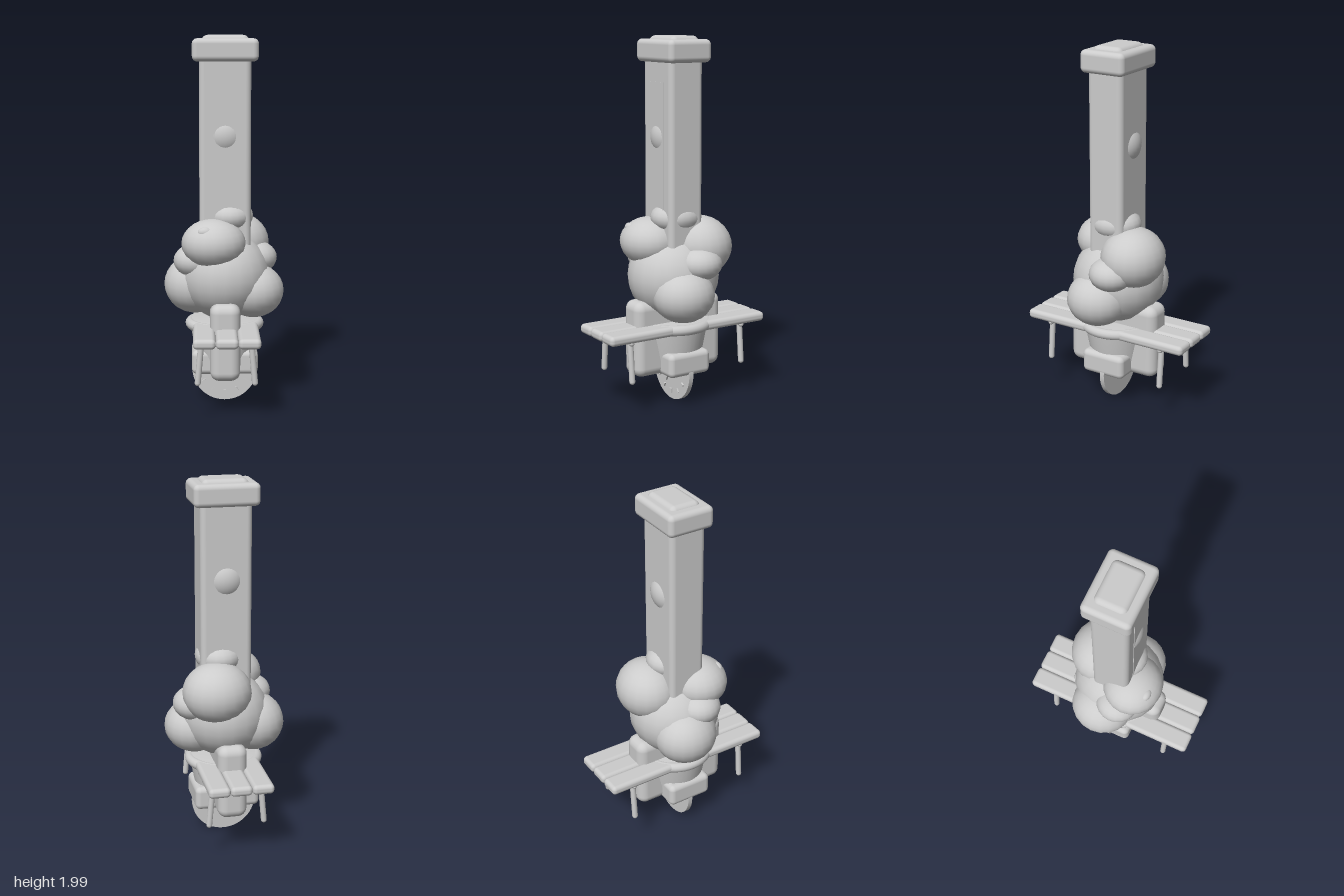
import * as THREE from 'three';
import { RoundedBoxGeometry } from 'three/addons/geometries/RoundedBoxGeometry.js';

export function createModel() {
  const model = new THREE.Group();
  const clay = new THREE.MeshStandardMaterial({ color: 0xcccccc });
  clay.name = 'plain grey';

  const add = (name, geometry, x = 0, y = 0, z = 0, parent = model) => {
    const mesh = new THREE.Mesh(geometry, clay);
    mesh.name = name;
    mesh.position.set(x, y, z);
    parent.add(mesh);
    return mesh;
  };
  // Rounded box given by its extents on each axis
  const block = (name, [x0, x1], [y0, y1], [z0, z1], r) =>
    add(name, new RoundedBoxGeometry(x1 - x0, y1 - y0, z1 - z0, 4, r),
      (x0 + x1) / 2, (y0 + y1) / 2, (z0 + z1) / 2);
  const ellipsoid = (name, [x, y, z], [rx, ry, rz], w = 20, h = 14) =>
    add(name, new THREE.SphereGeometry(1, w, h), x, y, z).scale.set(rx, ry, rz);
  // Round bar between two points
  const bar = (name, a, b, r) => {
    const from = new THREE.Vector3(...a), to = new THREE.Vector3(...b);
    const dir = to.clone().sub(from);
    const mid = from.clone().add(to).multiplyScalar(0.5);
    const mesh = add(name, new THREE.CapsuleGeometry(r, dir.length() - 2 * r, 4, 12), mid.x, mid.y, mid.z);
    mesh.quaternion.setFromUnitVectors(new THREE.Vector3(0, 1, 0), dir.normalize());
  };

  // Chimney tower with cap, front panel and round boss
  block('tower', [-0.135, 0.14], [0.75, 1.89], [-0.102, 0.105], 0.03);
  block('towerCap', [-0.172, 0.178], [1.862, 1.982], [-0.132, 0.13], 0.028);
  block('capInset', [-0.122, 0.13], [1.93, 2.0], [-0.091, 0.087], 0.034);
  add('frontPanel', new THREE.BoxGeometry(0.13, 0.72, 0.009), 0.005, 1.4, 0.104);
  ellipsoid('towerBoss', [0.002, 1.47, 0], [0.125, 0.125, 0.123], 32, 24);

  // Foliage: centre and radii of each clump
  const clumps = [
    [[0.0, 0.71, 0.0], [0.245, 0.24, 0.252]],
    [[-0.06, 0.9, 0.11], [0.172, 0.133, 0.163]],
    [[0.062, 0.87, -0.13], [0.187, 0.165, 0.173]],
    [[-0.16, 0.655, -0.03], [0.168, 0.16, 0.175]],
    [[0.157, 0.63, 0.035], [0.165, 0.147, 0.17]],
    [[0.17, 0.795, -0.06], [0.12, 0.092, 0.122]],
    [[-0.155, 0.8, 0.06], [0.12, 0.092, 0.12]],
    [[0.028, 1.035, 0], [0.128, 0.09, 0.144]],
  ];
  clumps.forEach(([c, r]) => ellipsoid('foliageClump', c, r));
  ellipsoid('foliageBud', [-0.105, 0.975, 0.208], [0.04, 0.028, 0.026]);

  // Tapered pot and its rolled rim
  add('pot', new THREE.LatheGeometry([
    [0, 0.18], [0.125, 0.18], [0.138, 0.19], [0.144, 0.21], [0.19, 0.45], [0.18, 0.47], [0, 0.47],
  ].map(([x, y]) => new THREE.Vector2(x, y)), 40));
  add('potRim', new THREE.TorusGeometry(0.186, 0.028, 14, 48).rotateX(Math.PI / 2), 0.001, 0.443, 0);

  // Blocks through the pot
  block('longBlock', [-0.08, 0.08], [0.178, 0.595], [-0.27, 0.275], 0.05);
  block('crossBlock', [-0.178, 0.18], [0.18, 0.312], [-0.13, 0.13], 0.03);

  // Bench slats, crossbars and splayed legs
  for (const x of [-0.112, 0.005, 0.121]) {
    block('benchSlat', [x - 0.058, x + 0.058], [0.416, 0.469], [-0.495, 0.492], 0.022);
  }
  for (const z of [-0.352, 0.354]) {
    bar('benchCrossbar', [-0.16, 0.412, z], [0.165, 0.412, z], 0.015);
    for (const s of [-1, 1]) {
      bar('benchLeg', [s * 0.13 + 0.003, 0.425, z], [s * 0.151 + 0.003, 0.188, z], 0.016);
    }
  }

  // Clock dial with hour marks and hands
  const clock = new THREE.Group();
  clock.name = 'clock';
  clock.position.set(0.002, 0.184, -0.002);
  model.add(clock);
  add('dial', new THREE.CylinderGeometry(0.178, 0.178, 0.026, 56).rotateX(Math.PI / 2), 0, 0, 0, clock);
  for (let i = 0; i < 12; i++) {
    const a = i * Math.PI / 6, long = i % 3 === 0;
    const mark = add('hourMark', new THREE.BoxGeometry(long ? 0.014 : 0.008, long ? 0.026 : 0.022, 0.012),
      Math.sin(a) * 0.132, Math.cos(a) * 0.132, 0.016, clock);
    mark.rotation.z = -a;
  }
  const hand = add('clockHand', new THREE.BoxGeometry(0.008, 0.1, 0.01), -0.02, -0.036, 0.021, clock);
  hand.rotation.z = -0.5;

  return model;
}
